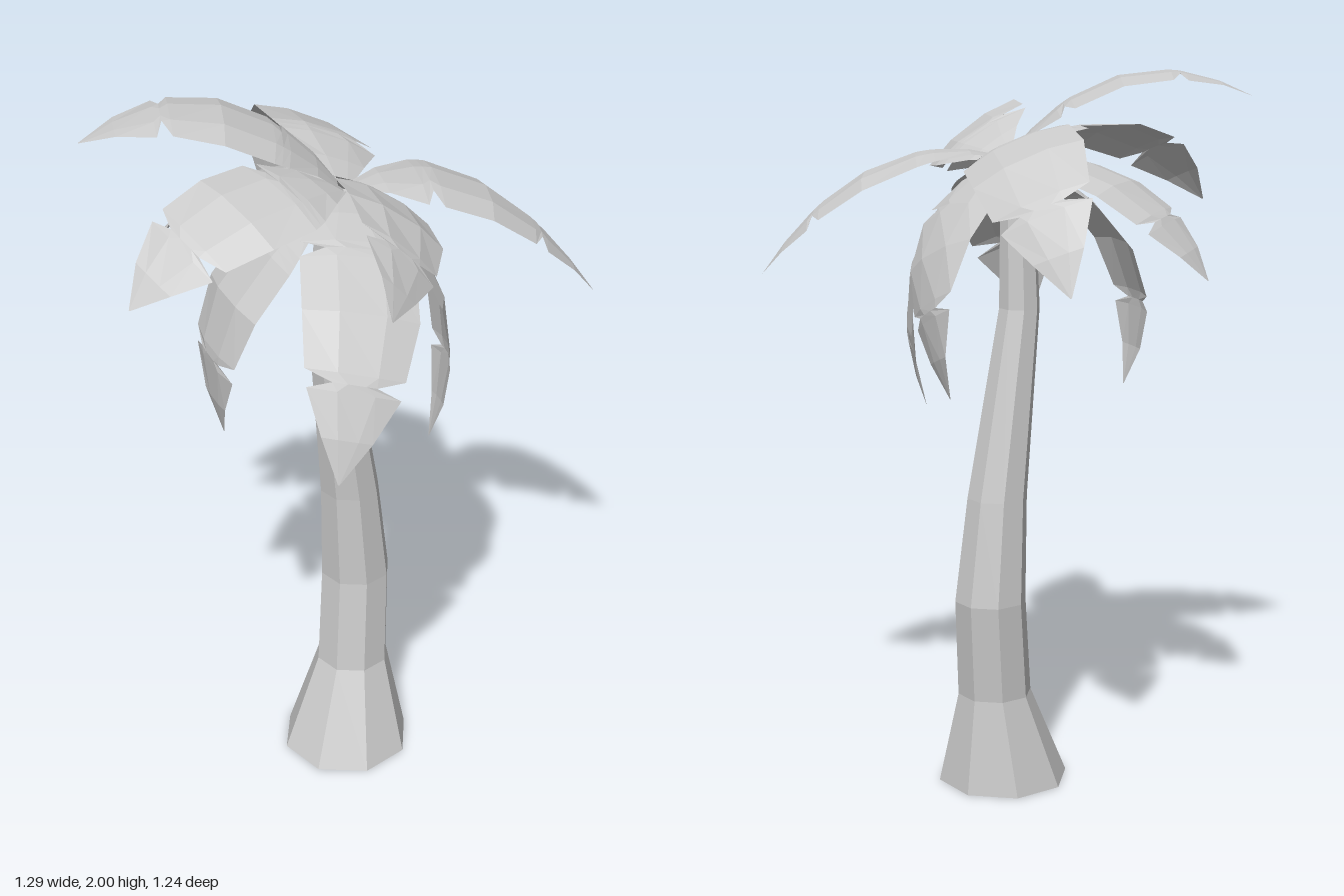
import * as THREE from 'three';

const material = new THREE.MeshStandardMaterial({ color: 0xcccccc, flatShading: true, side: THREE.DoubleSide });

// Skin a list of equally long cross-sections with flat facets
function skin(rows, name) {
  const cols = rows[0].length;
  const index = [];
  for (let i = 0; i < rows.length - 1; i++) {
    for (let j = 0; j < cols - 1; j++) {
      const a = i * cols + j, b = a + cols;
      index.push(a, a + 1, b, a + 1, b + 1, b);
    }
  }
  let geometry = new THREE.BufferGeometry().setFromPoints(rows.flat());
  geometry.setIndex(index);
  geometry = geometry.toNonIndexed();
  geometry.computeVertexNormals();
  const mesh = new THREE.Mesh(geometry, material);
  mesh.name = name;
  return mesh;
}

// Frond outline: [position along rib, left half width, right half width]
const OUTLINE = [
  [0, 0.015, 0.015],
  [0.13, 0.075, 0.085],
  [0.25, 0.13, 0.145],
  [0.28, 0.14, 0.085],
  [0.31, 0.148, 0.15],
  [0.5, 0.152, 0.15],
  [0.68, 0.125, 0.135],
  [0.71, 0.05, 0.065],
  [0.735, 0.12, 0.125],
  [0.87, 0.065, 0.07],
  [1, 0.002, 0.002],
];

const ROOT = new THREE.Vector3(0, 1.77, 0.04);

// A notched blade along an arc from the crown through mid to tip, slightly arched across.
// Roll turns it around the rib, turn swings its width around the vertical.
function frond(name, mid, tip, roll = 0, turn = 0) {
  const up = new THREE.Vector3(0, 1, 0);
  const middle = new THREE.Vector3(...mid);
  const end = new THREE.Vector3(...tip);
  const control = middle.clone().multiplyScalar(2).addScaledVector(ROOT, -0.5).addScaledVector(end, -0.5);
  const curve = new THREE.QuadraticBezierCurve3(ROOT, control, end);
  const heading = middle.sub(ROOT).setY(0).normalize();
  const side = up.clone().cross(heading).applyAxisAngle(up, turn);
  const rows = OUTLINE.map(([t, left, right]) => {
    const centre = curve.getPointAt(t);
    const tangent = curve.getTangentAt(t);
    const across = side.clone().addScaledVector(tangent, -side.dot(tangent)).normalize();
    across.applyAxisAngle(tangent, roll);
    const normal = tangent.clone().cross(across);
    const at = w => centre.clone().addScaledVector(across, w).addScaledVector(normal, -w * w);
    return [at(left), at(left * 0.4), at(-right * 0.4), at(-right)];
  });
  return skin(rows, name);
}

// Trunk rings: [x, y, z, radius]
const TRUNK = [
  [0.01, 0, 0.045, 0.185],
  [0.043, 0.27, 0.006, 0.104],
  [0.06, 0.55, -0.02, 0.1],
  [0.037, 0.84, -0.005, 0.084],
  [-0.035, 1.36, 0.036, 0.057],
  [-0.03, 1.76, 0.045, 0.045],
];

export function createModel() {
  const palm = new THREE.Group();
  palm.name = 'palmTree';

  // Bent eight-sided trunk, open underneath
  const rings = TRUNK.map(([x, y, z, r]) => Array.from({ length: 9 }, (_, i) => {
    const a = -(i % 8) * Math.PI / 4;
    return new THREE.Vector3(x + r * Math.cos(a), y, z + r * Math.sin(a));
  }));
  palm.add(skin(rings, 'trunk'));

  // Crown of drooping fronds: name, midpoint, tip, roll, turn
  const crown = new THREE.Group();
  crown.name = 'crown';
  crown.add(
    frond('backFrond', [0.045, 1.81, -0.36], [-0.01, 1.49, -0.62], 0.4),
    frond('leftFrond', [0.35, 1.745, 0.09], [0.645, 1.45, 0.21]),
    frond('topRightFrond', [-0.3, 1.99, -0.035], [-0.645, 1.93, -0.1]),
    frond('frontRightFrond', [-0.33, 1.83, 0.185], [-0.615, 1.62, 0.225], -0.25),
    frond('backRightFrond', [-0.26, 1.72, -0.18], [-0.46, 1.47, -0.31]),
    frond('frontLowFrond', [-0.08, 1.62, 0.42], [-0.21, 1.26, 0.605], -0.2),
    frond('frontTopFrond', [0.045, 1.83, 0.34], [-0.08, 1.69, 0.615], -0.6),
    frond('leftLowFrond', [0.25, 1.5, 0.09], [0.2, 1.07, 0.17]),
    frond('backLeftLowFrond', [0.25, 1.54, -0.18], [0.23, 1.19, -0.32], 0, -0.55),
    frond('rightLowFrond', [-0.33, 1.53, 0.07], [-0.34, 1.13, 0.06]),
  );
  palm.add(crown);
  return palm;
}
